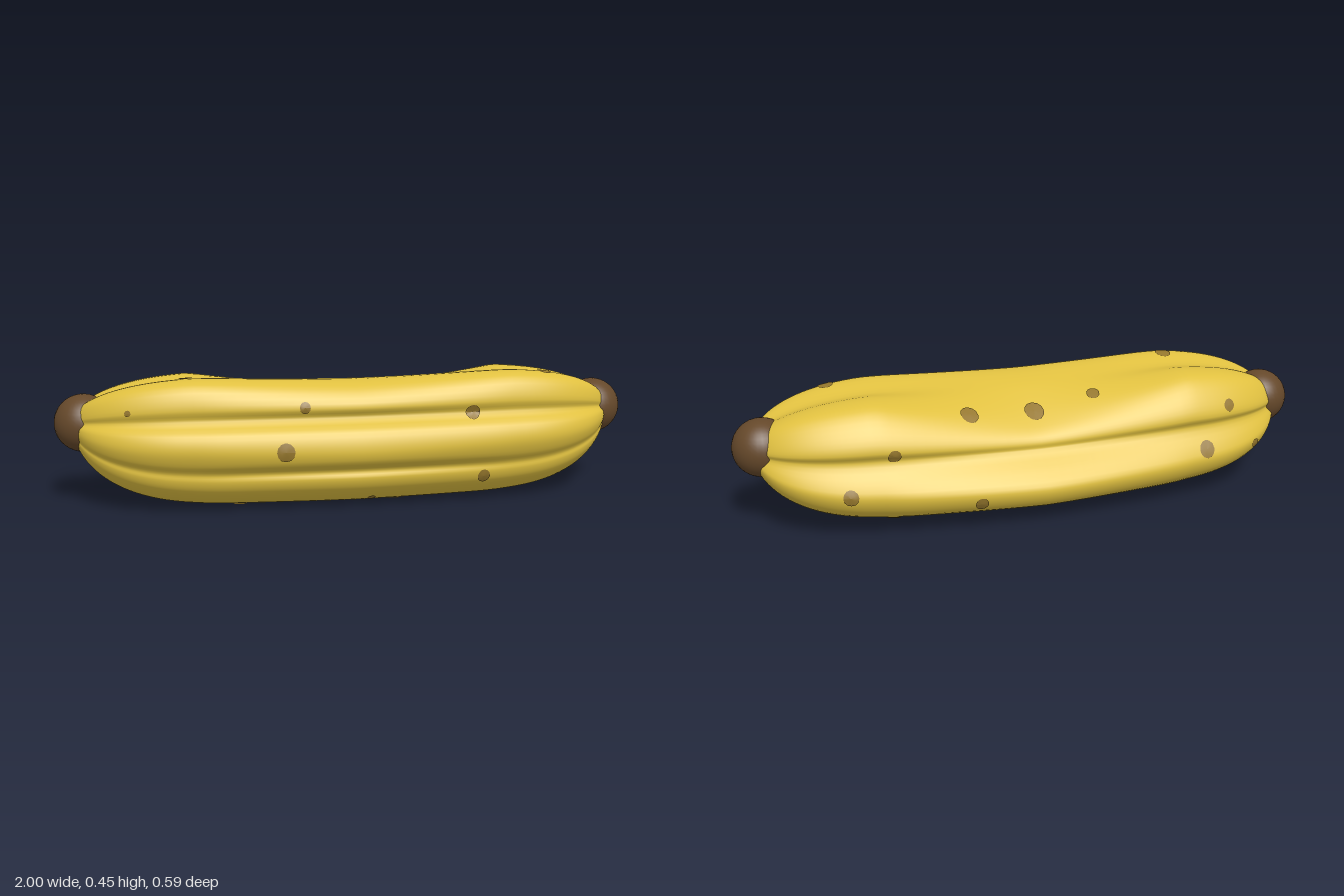
import * as THREE from 'three';

const peel = new THREE.MeshStandardMaterial({ color: 0xe0c040 });
peel.name = 'yellow peel';
const tipBrown = new THREE.MeshStandardMaterial({ color: 0x65482a });
tipBrown.name = 'brown tip';
const spotBrown = new THREE.MeshStandardMaterial({ color: 0x94762c, side: THREE.DoubleSide });
spotBrown.name = 'spot brown';

// Five-lobed cross-sections as [z, y], from the front, over the top, round to the front
const MIDDLE = [
  [.295, .21], [.275, .27], [.225, .31], [.24, .345], [.2, .4], [.13, .423], [.03, .405],
  [-.05, .37], [-.13, .325], [-.185, .285], [-.2, .26], [-.2, .24], [-.26, .18], [-.297, .13],
  [-.275, .075], [-.2, .035], [-.1, .012], [0, .02], [.05, .008], [.11, 0], [.17, .015],
  [.24, .07], [.257, .11], [.25, .135], [.285, .17],
];
const SHOULDER = [
  [.27, .22], [.255, .27], [.21, .31], [.22, .35], [.19, .42], [.13, .442], [.03, .418],
  [-.05, .43], [-.13, .413], [-.19, .35], [-.215, .29], [-.2, .255], [-.24, .19], [-.258, .145],
  [-.235, .09], [-.17, .045], [-.09, .02], [0, .03], [.05, .018], [.1, .01], [.15, .02],
  [.215, .075], [.23, .11], [.23, .135], [.255, .17],
];
const END_Y = 0.277, END_Z = -0.005, HALF = 0.94;

const loop = (pts) => new THREE.CatmullRomCurve3(
  pts.map(([z, y]) => new THREE.Vector3(0, y, z)), true, 'centripetal');

// Body skin: blend middle into shoulder, then round off towards each end
function bodyGeometry(rows = 72, cols = 100) {
  const ring = (pts) => {
    const curve = loop(pts);
    return Array.from({ length: cols }, (_, j) => curve.getPoint(j / cols));
  };
  const a = ring(MIDDLE), b = ring(SHOULDER);
  const pos = [], index = [];
  for (let i = 0; i <= rows; i++) {
    const x = HALF * Math.sin((i / rows - 0.5) * Math.PI);
    const ax = Math.abs(x);
    const blend = Math.min(1, ax / 0.55) ** 1.4;
    const u = Math.max(0, (ax - 0.4) / (HALF - 0.4));
    const s = Math.sqrt(Math.max(0, 1 - u ** 2.6));
    for (let j = 0; j < cols; j++) {
      const p = a[j].clone().lerp(b[j], blend);
      pos.push(x, END_Y + (p.y - END_Y) * s, END_Z + (p.z - END_Z) * s);
      if (i < rows) {
        const k = (j + 1) % cols, r = i * cols, n = r + cols;
        index.push(r + j, n + j, n + k, r + j, n + k, r + k);
      }
    }
  }
  const g = new THREE.BufferGeometry();
  g.setAttribute('position', new THREE.Float32BufferAttribute(pos, 3));
  g.setIndex(index);
  g.computeVertexNormals();
  return g;
}

// Spots: [x, second coordinate, radius] seen from each side
const SPOTS = {
  front: [[-.25, .215, .03], [-.18, .35, .018], [.39, .315, .026], [.43, .095, .022], [-.75, .34, .01]],
  top: [[-.22, -.08, .023], [0, -.105, .034], [.23, -.12, .03], [-.56, .11, .028], [.67, .12, .026]],
  back: [[.5, .275, .022], [.65, .16, .025], [.23, .105, .022], [-.59, .185, .028],
    [-.69, .32, .02], [-.8, .17, .016]],
  under: [[.15, .1, .026], [.13, .01, .018], [-.1, .03, .017], [.51, -.19, .025], [-.39, .11, .024], [.05, .19, .014]],
};
const PLACE = {
  front: (u, v) => [u, v, 1], back: (u, v) => [u, v, -1],
  top: (u, v) => [u, 1, v], under: (u, v) => [u, -1, v],
};
const INWARD = { front: [0, 0, -1], back: [0, 0, 1], top: [0, -1, 0], under: [0, 1, 0] };

// A thin disc laid onto the skin by projecting its points onto the body
function spotGeometry(body, side, [u, v, r]) {
  const dir = new THREE.Vector3(...INWARD[side]);
  const ray = new THREE.Raycaster();
  const disc = new THREE.RingGeometry(0.0001, r, 12, 2);
  const p = disc.attributes.position;
  for (let i = 0; i < p.count; i++) {
    ray.set(new THREE.Vector3(...PLACE[side](u + p.getX(i), v + p.getY(i))), dir);
    const hit = ray.intersectObject(body)[0];
    if (!hit) return null;
    hit.point.addScaledVector(hit.face.normal, 0.004);
    p.setXYZ(i, hit.point.x, hit.point.y, hit.point.z);
  }
  // keep the faces turned outwards
  if (side === 'back' || side === 'top') {
    const ix = disc.index.array;
    for (let i = 0; i < ix.length; i += 3) [ix[i], ix[i + 1]] = [ix[i + 1], ix[i]];
  }
  disc.computeVertexNormals();
  return disc;
}

export function createModel() {
  const model = new THREE.Group();
  model.name = 'banana';

  const body = new THREE.Mesh(bodyGeometry(), peel);
  body.name = 'body';
  model.add(body);

  // Rounded brown ends
  for (const side of [-1, 1]) {
    const tip = new THREE.Mesh(new THREE.SphereGeometry(0.098, 32, 20), tipBrown);
    tip.name = side > 0 ? 'leftTip' : 'rightTip';
    tip.position.set(side * 0.902, END_Y, END_Z);
    model.add(tip);
  }

  // Ripeness spots
  const spots = new THREE.Group();
  spots.name = 'spots';
  for (const [side, list] of Object.entries(SPOTS)) {
    for (const spec of list) {
      const g = spotGeometry(body, side, spec);
      if (!g) continue;
      const spot = new THREE.Mesh(g, spotBrown);
      spot.name = side + 'Spot';
      spots.add(spot);
    }
  }
  model.add(spots);
  return model;
}
